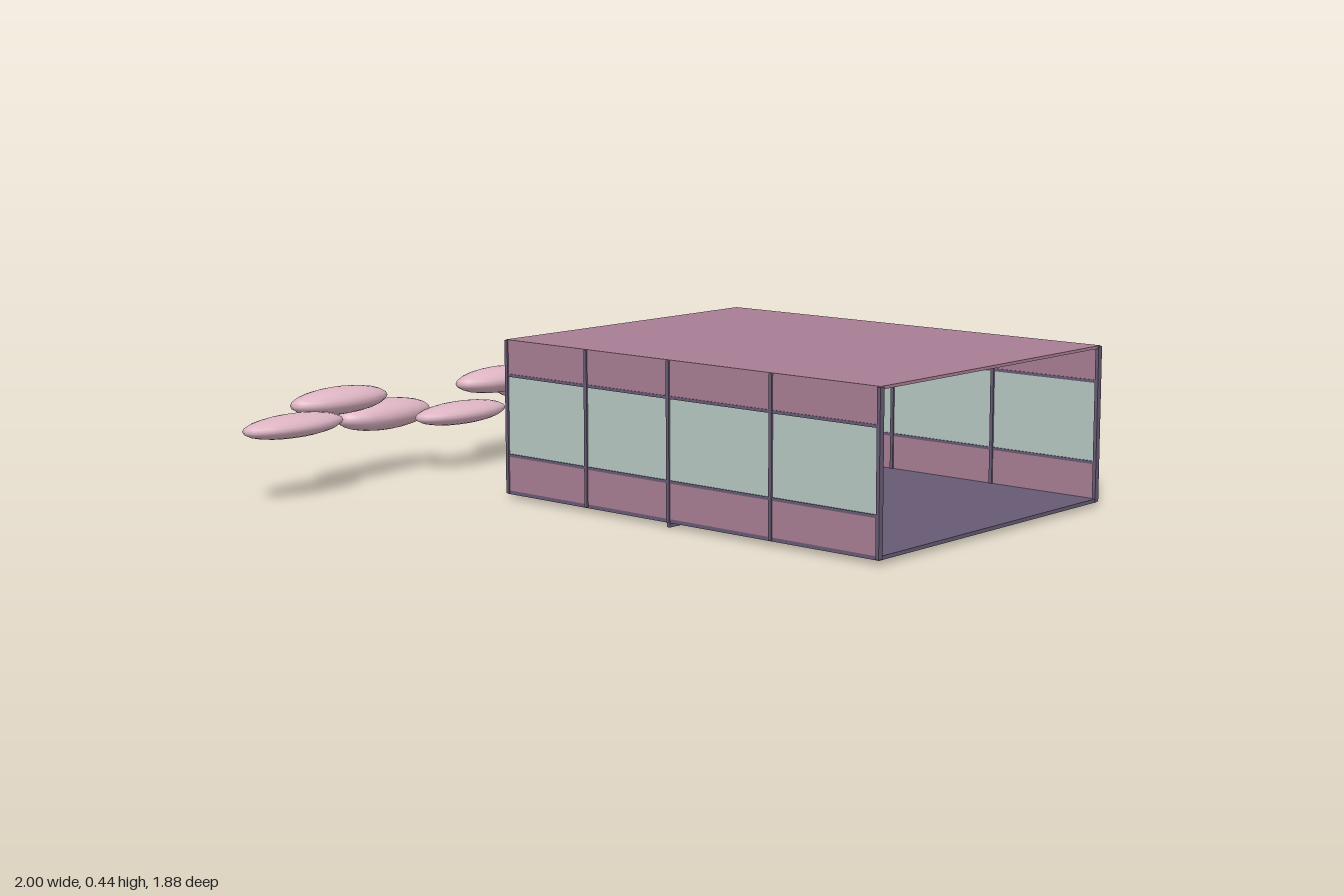
import * as THREE from 'three';

const paint = (name, color) => Object.assign(new THREE.MeshStandardMaterial({ color }), { name });

export function createModel() {
  const mauve = paint('mauve panel', 0xa87d93);
  const glass = paint('pale glass', 0xb7c8c3);
  const slate = paint('slate purple', 0x675a74);
  const plum = paint('plum pole', 0x7f4d68);
  const beige = paint('beige ring', 0xb5a596);
  const pink = paint('cloud pink', 0xddb4c3);

  const model = new THREE.Group();
  model.name = 'cabinWithClouds';
  const add = (name, geometry, material, parent = model) => {
    const mesh = new THREE.Mesh(geometry, material);
    mesh.name = name;
    parent.add(mesh);
    return mesh;
  };
  // box given by its minimum and maximum corners
  const box = (name, material, x0, x1, y0, y1, z0, z1, parent) => {
    const mesh = add(name, new THREE.BoxGeometry(x1 - x0, y1 - y0, z1 - z0), material, parent);
    mesh.position.set((x0 + x1) / 2, (y0 + y1) / 2, (z0 + z1) / 2);
    return mesh;
  };

  const L = -0.45, R = 0.51, back = -0.335, front = 0.94, low = 0.012, top = 0.437;

  // shell, open at the front
  box('floor', slate, L, R, low, 0.022, back, front);
  box('roof', mauve, L, R, top - 0.008, top, back, front);
  box('backWall', mauve, L, R, 0.022, top - 0.008, back, back + 0.008);
  box('floorCrossbar', slate, L, R, 0, low, 0.252, 0.262);

  // rear window and its inner frame
  box('rearWindow', glass, -0.33, 0.39, 0.235, 0.4, back - 0.002, back + 0.01);
  for (const y of [0.235, 0.4])
    box('rearWindowRail', slate, -0.335, 0.395, y - 0.005, y + 0.005, back + 0.004, back + 0.016);
  for (const x of [-0.33, 0.39])
    box('rearWindowStile', slate, x - 0.005, x + 0.005, 0.235, 0.4, back + 0.004, back + 0.016);

  // side walls: lower band, glass, upper band, rails and posts
  for (const [side, x] of [['right', L], ['left', R - 0.008]]) {
    const wall = new THREE.Group();
    wall.name = side + 'Wall';
    model.add(wall);
    box('lowerBand', mauve, x, x + 0.008, 0.022, 0.12, back + 0.008, front, wall);
    box('windowStrip', glass, x + 0.001, x + 0.007, 0.12, 0.34, back + 0.008, front, wall);
    box('upperBand', mauve, x, x + 0.008, 0.34, top - 0.008, back + 0.008, front, wall);
    for (const y of [0.12, 0.34])
      box('rail', slate, x - 0.002, x + 0.01, y - 0.004, y + 0.004, back, front, wall);
    for (const z of [-0.331, -0.035, 0.257, 0.6, 0.937])
      box('post', slate, x - 0.004, x + 0.012, low + 0.002, top - 0.002, z - 0.005, z + 0.005, wall);
  }

  // row of leaning poles, each with an oval ring
  const poleGeometry = new THREE.CylinderGeometry(0.009, 0.009, 0.378, 8);
  const ringGeometry = new THREE.TorusGeometry(0.053, 0.005, 8, 28).scale(1, 1.5, 1);
  for (let i = 0; i < 6; i++) {
    const x = -0.375 + i * 0.151;
    const pole = add('leaningPole', poleGeometry, plum);
    pole.position.set(x, 0.213, -0.05);
    pole.rotation.z = -0.175;
    add('ovalRing', ringGeometry, beige).position.set(x + 0.005, 0.26, -0.03);
  }

  // low console and tilted panel
  box('consoleBase', mauve, -0.08, 0.13, 0.022, 0.062, 0, 0.12);
  box('consoleTrim', beige, -0.08, 0.13, 0.062, 0.067, 0, 0.12);
  box('consoleFront', slate, -0.05, 0.11, 0.022, 0.065, 0.12, 0.129);
  const panel = add('tiltedPanel', new THREE.BoxGeometry(0.135, 0.06, 0.04), slate);
  panel.position.set(0.36, 0.172, 0.03);
  panel.rotation.z = 0.12;

  // drifting clouds behind the cabin
  const cloudGeometry = new THREE.SphereGeometry(1, 18, 12);
  [0.2, 0.24, 0.17, 0.16, 0.23, 0.19, 0.16, 0.23, 0.22].forEach((y, i) => {
    const step = i % 3;
    const cloud = add('cloud', cloudGeometry, pink);
    cloud.position.set((i - 4) * 0.2075, y, -0.775 - step * 0.05);
    cloud.scale.set(0.168, 0.032 + step * 0.006, 0.068);
  });

  return model;
}
